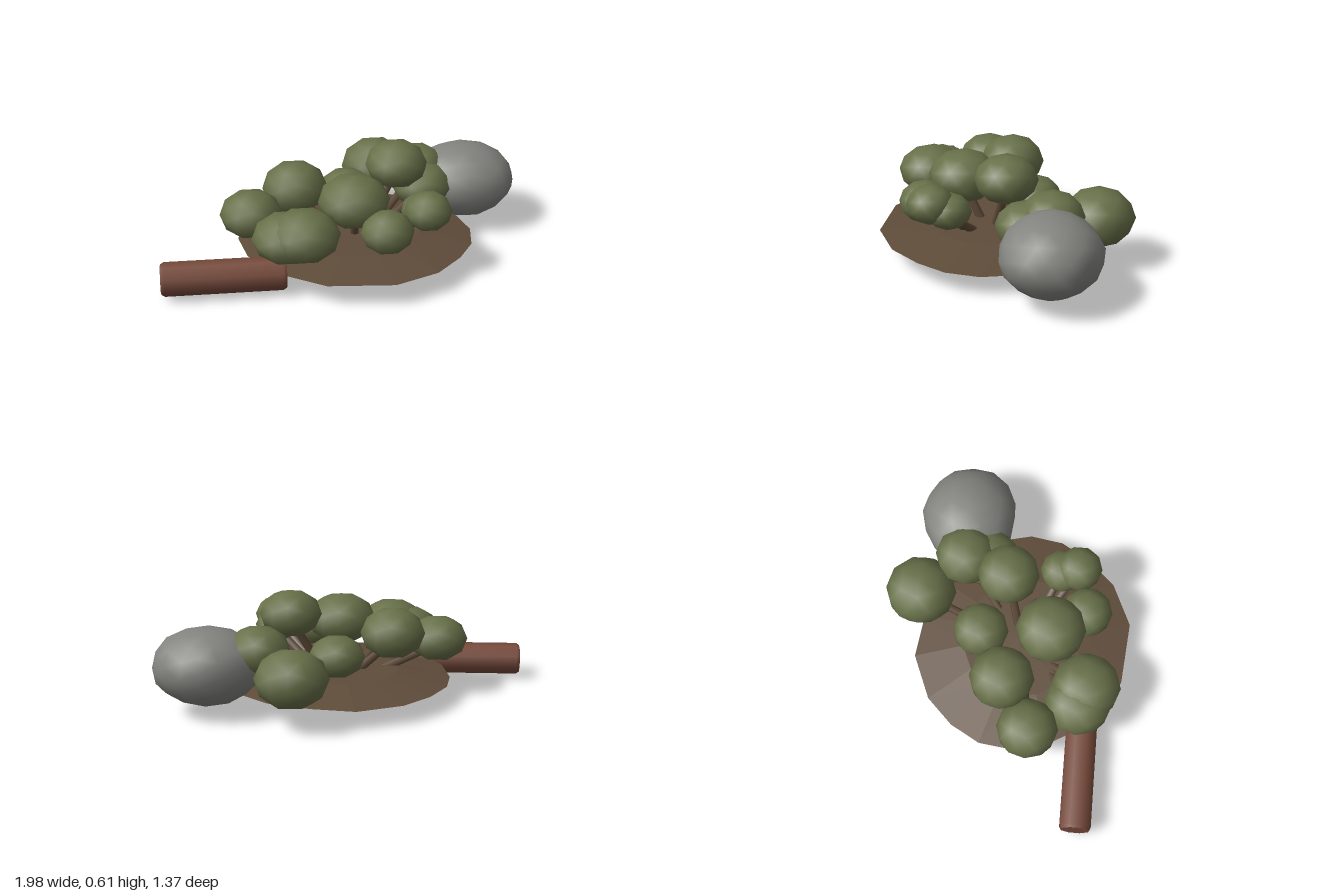
import * as THREE from 'three';
import { mergeVertices } from 'three/addons/utils/BufferGeometryUtils.js';

const material = (name, color, extra = {}) => {
  const m = new THREE.MeshStandardMaterial({ color, ...extra });
  m.name = name;
  return m;
};

export function createModel() {
  const group = new THREE.Group();
  const foliage = material('foliage green', 0x687049);
  const earth = material('earth brown', 0x5f4c3a);
  const bark = material('bark red brown', 0x774a3b);
  const stone = material('stone grey', 0x83847f);

  const add = (name, geometry, mat) => {
    const mesh = new THREE.Mesh(geometry, mat);
    mesh.name = name;
    group.add(mesh);
    return mesh;
  };

  // Earth mound: thin lens made of scaled copies of one uneven rim
  const rim = [
    [-0.10, -0.50], [-0.34, -0.40], [-0.48, -0.26], [-0.57, -0.10], [-0.59, 0.06],
    [-0.55, 0.27], [-0.42, 0.48], [-0.17, 0.65], [0.175, 0.68], [0.41, 0.575],
    [0.555, 0.42], [0.645, 0.27], [0.675, 0.09], [0.63, -0.10], [0.53, -0.27],
    [0.37, -0.40], [0.14, -0.47],
  ];
  const cx = 0.04, cz = 0.09, n = rim.length;
  const layers = [[0, 0.15], [0.55, 0.145], [1, 0.1], [0.6, 0.045], [0, 0.035]];
  const positions = [], index = [];
  layers.forEach(([s, y]) => rim.forEach(([x, z]) => {
    const tilt = s === 1 ? 0.02 * (z - cz) : 0;
    positions.push(cx + (x - cx) * s, y + tilt, cz + (z - cz) * s);
  }));
  for (let k = 0; k < layers.length - 1; k++) {
    for (let i = 0; i < n; i++) {
      const a = k * n + i, b = k * n + (i + 1) % n, c = a + n, d = b + n;
      if (k > 0) index.push(a, b, c);
      if (k < layers.length - 2) index.push(b, d, c);
    }
  }
  const mound = new THREE.BufferGeometry();
  mound.setAttribute('position', new THREE.Float32BufferAttribute(positions, 3));
  mound.setIndex(index);
  // Reverse winding when the rim order makes the top face down
  const p = (i) => new THREE.Vector3().fromBufferAttribute(mound.attributes.position, i);
  const [i0, i1, i2] = [n, n + 1, 2 * n];
  const up = p(i1).sub(p(i0)).cross(p(i2).sub(p(i0))).y;
  if (up < 0) mound.setIndex(index.map((_, i) => index[i - (i % 3) + 2 - (i % 3)]));
  const moundFlat = mound.toNonIndexed();
  moundFlat.computeVertexNormals();
  add('earthMound', moundFlat, earth);

  // Leaf clumps (x, y, z, radius, half height), each on a slanting branch
  const clumps = [
    [0.23, 0.255, -0.49, 0.195, 0.155], [0.02, 0.27, -0.14, 0.152, 0.115],
    [-0.275, 0.365, 0, 0.175, 0.14], [0.275, 0.47, -0.01, 0.168, 0.128],
    [0.015, 0.38, 0.24, 0.19, 0.14], [-0.52, 0.295, 0.155, 0.165, 0.125],
    [-0.35, 0.275, 0.415, 0.182, 0.128], [-0.265, 0.3, 0.45, 0.187, 0.135],
    [0.165, 0.285, 0.43, 0.14, 0.113], [0.38, 0.325, 0.28, 0.122, 0.093],
    [0.385, 0.363, 0.37, 0.126, 0.103], [0.425, 0.335, -0.255, 0.17, 0.13],
    [0.44, 0.285, -0.13, 0.168, 0.125],
  ];
  const root = new THREE.Vector3(cx, 0.01, cz);
  const yAxis = new THREE.Vector3(0, 1, 0);
  clumps.forEach(([x, y, z, r, h]) => {
    const leaf = add('leafClump', new THREE.IcosahedronGeometry(1, 1), foliage);
    leaf.position.set(x, y, z);
    leaf.scale.set(r, h, r);

    const tip = new THREE.Vector3(x, y - h * 0.3, z);
    const dir = tip.clone().sub(root);
    const branch = add('branch', new THREE.CylinderGeometry(0.02, 0.027, dir.length(), 6), earth);
    branch.position.copy(root).add(tip).multiplyScalar(0.5);
    branch.quaternion.setFromUnitVectors(yAxis, dir.normalize());
  });

  // Fallen log with slightly bevelled ends
  const L = 0.32;
  const side = [[0.078, -L], [0.089, -L + 0.018], [0.089, L - 0.018], [0.078, L]]
    .map(([r, y]) => new THREE.Vector2(r, y));
  const log = new THREE.Group();
  log.name = 'fallenLog';
  const body = new THREE.Mesh(new THREE.LatheGeometry(side, 8), bark);
  body.name = 'logBody';
  log.add(body);
  [-1, 1].forEach((s) => {
    const cap = new THREE.Mesh(new THREE.CircleGeometry(0.078, 8), bark);
    cap.name = 'logEnd';
    cap.rotation.x = -s * Math.PI / 2;
    cap.position.y = s * L;
    log.add(cap);
  });
  // Turned half a side so it rests on a flat
  log.rotation.set(Math.PI / 8, 0, Math.PI / 2);
  log.position.set(-0.68, 0.092, 0.45);
  group.add(log);

  // Boulder: icosphere with gently uneven, blocky sides
  let rock = new THREE.IcosahedronGeometry(1, 2);
  rock.deleteAttribute('normal');
  rock.deleteAttribute('uv');
  rock = mergeVertices(rock, 1e-3);
  const v = new THREE.Vector3(), pos = rock.attributes.position;
  for (let i = 0; i < pos.count; i++) {
    v.fromBufferAttribute(pos, i);
    const bump = 1 + 0.035 * Math.sin(5 * v.x + 2 * v.z) * Math.cos(4 * v.z + 3 * v.y);
    const skew = 0.03 * v.x * v.z;
    pos.setXYZ(i, v.x * bump * 0.295, v.y * 0.208, (v.z * bump + skew) * 0.262);
  }
  rock.computeVertexNormals();
  add('boulder', rock, stone).position.set(0.695, 0.247, -0.265);

  return group;
}
